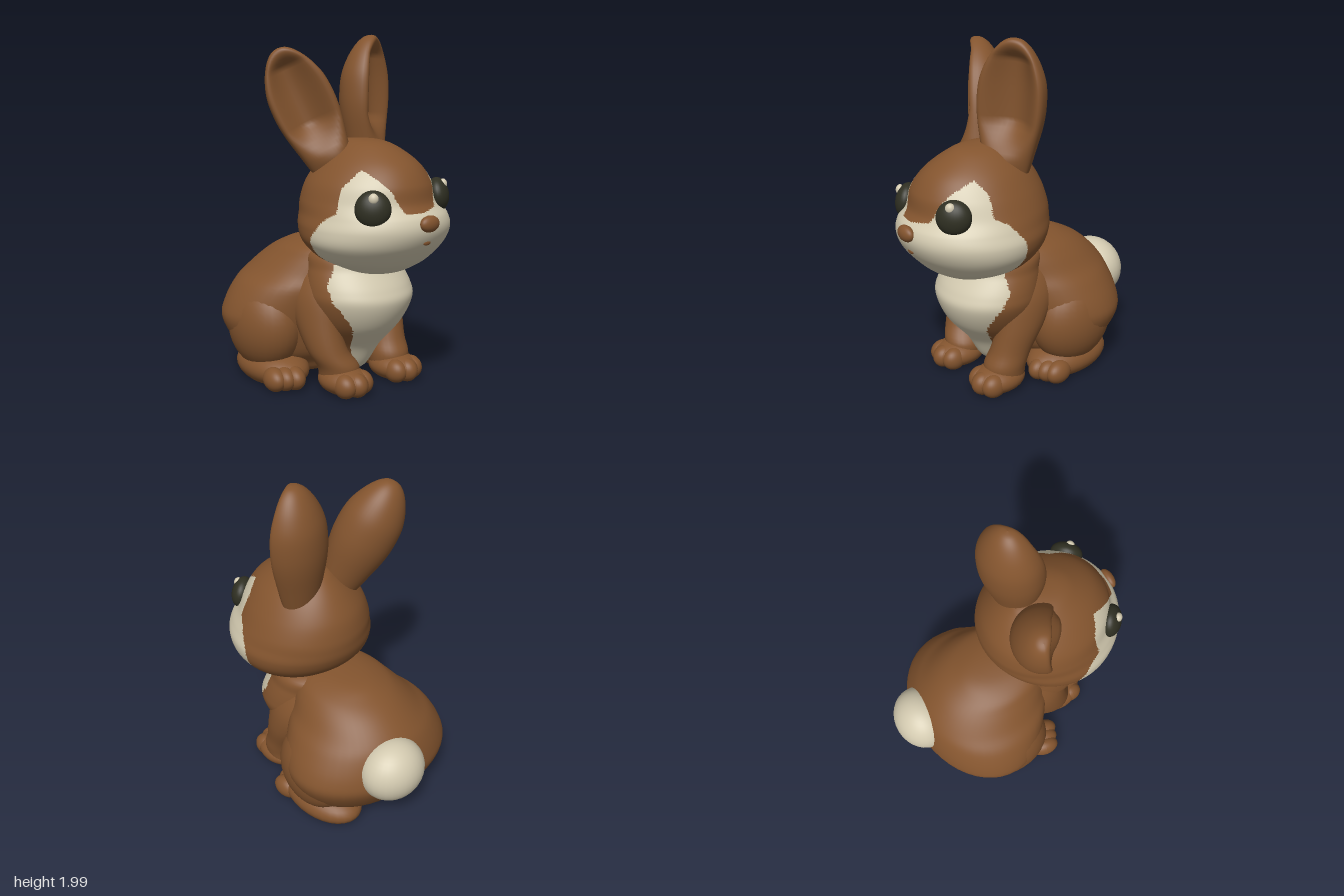
import * as THREE from 'three';

const paint = (name, color) => Object.assign(new THREE.MeshStandardMaterial({ color }), { name });
const fur = paint('brownFur', 0x83542e);
const cream = paint('creamFur', 0xd3cab0);
const dark = paint('darkEye', 0x2f2f22);

// Smooth interpolation through the rows of a table, s in 0..1
function sampleRows(rows, s) {
  const f = s * (rows.length - 1), i = Math.min(Math.floor(f), rows.length - 2), t = f - i;
  const row = (k) => rows[Math.max(0, Math.min(rows.length - 1, k))];
  const [a, b, c, d] = [row(i - 1), row(i), row(i + 1), row(i + 2)];
  return b.map((v, k) => v + 0.5 * t * (c[k] - a[k] + t * (2 * a[k] - 5 * v + 4 * c[k] - d[k]
    + t * (3 * (v - c[k]) + d[k] - a[k]))));
}

// Linear lookup in [key, value] pairs
function lookup(pairs, x) {
  if (x <= pairs[0][0]) return pairs[0][1];
  for (let i = 1; i < pairs.length; i++) {
    const [x0, v0] = pairs[i - 1], [x1, v1] = pairs[i];
    if (x <= x1) return v0 + (v1 - v0) * (x - x0) / (x1 - x0);
  }
  return pairs[pairs.length - 1][1];
}

// Skin over closed rings; isCream(centre) assigns faces to the cream material
function loft(name, rings, isCream) {
  const n = rings[0].length, pts = rings.flat(), sets = [[], []];
  const addFace = (a, b, c) => {
    const mid = new THREE.Vector3().add(pts[a]).add(pts[b]).add(pts[c]).divideScalar(3);
    sets[isCream && isCream(mid) ? 1 : 0].push(a, b, c);
  };
  for (let i = 0; i < rings.length - 1; i++) {
    for (let j = 0; j < n; j++) {
      const a = i * n + j, b = i * n + (j + 1) % n;
      addFace(a, b, a + n);
      addFace(b, b + n, a + n);
    }
  }
  const geo = new THREE.BufferGeometry().setFromPoints(pts);
  geo.setIndex([...sets[0], ...sets[1]]);
  geo.addGroup(0, sets[0].length, 0);
  geo.addGroup(sets[0].length, sets[1].length, 1);
  geo.computeVertexNormals();
  const mesh = new THREE.Mesh(geo, [fur, cream]);
  mesh.name = name;
  return mesh;
}

// Stacked level ellipses; rows are [y, centreX, halfWidth, backZ, frontZ]
function stack(name, rows, levels, sides, isCream) {
  const rings = [];
  for (let i = 0; i <= levels; i++) {
    const [y, cx, rx, zb, zf] = sampleRows(rows, i / levels);
    rings.push(Array.from({ length: sides }, (_, j) => {
      const a = (j / sides) * Math.PI * 2;
      return new THREE.Vector3(cx + Math.max(rx, 0) * Math.sin(a), y, (zb + zf) / 2 + (zf - zb) / 2 * Math.cos(a));
    }));
  }
  return loft(name, rings, isCream);
}

// Smooth ellipsoid
function blob(name, material, position, radii, yaw = 0, pitch = 0) {
  const mesh = new THREE.Mesh(new THREE.SphereGeometry(1, 32, 22).scale(...radii), material);
  mesh.name = name;
  mesh.position.set(...position);
  mesh.rotation.set(pitch, yaw, 0, 'YXZ');
  return mesh;
}

// Ellipsoid with a flat sole just above the ground
function paw(name, position, radii, yaw = 0) {
  const mesh = blob(name, fur, position, radii, yaw);
  const pos = mesh.geometry.attributes.position;
  for (let i = 0; i < pos.count; i++) pos.setY(i, Math.max(pos.getY(i), 0.012 - position[1]));
  mesh.geometry.computeVertexNormals();
  return mesh;
}

// Cupped ear: rounded back, hollow front, rim thicker on the inner side (inner = 1 or -1)
function ear(name, base, tip, facing, width, depth, inner) {
  const from = new THREE.Vector3(...base), to = new THREE.Vector3(...tip);
  const axis = to.clone().sub(from).normalize();
  const W = new THREE.Vector3(...facing).cross(axis).normalize();
  const N = axis.clone().cross(W);
  const profile = [[0, 0.6], [0.2, 0.78], [0.4, 0.95], [0.55, 1], [0.7, 0.95], [0.83, 0.76], [0.93, 0.5], [0.985, 0.24], [1, 0]];
  const rings = [];
  for (let i = 0; i <= 40; i++) {
    const [t, k] = sampleRows(profile, i / 40);
    const hollow = 1.05 * Math.min(1, Math.max(0, (t - 0.15) / 0.25)) * Math.min(1, (1 - t) / 0.14);
    rings.push(Array.from({ length: 48 }, (_, j) => {
      const a = (j / 48) * Math.PI * 2, s = Math.sin(a), c = Math.cos(a);
      const v = s < 0 ? s : (0.85 + 0.25 * inner * c) * s - hollow * s ** 3;
      return from.clone().lerp(to, t).addScaledVector(W, width * k * c).addScaledVector(N, depth * k * v);
    }));
  }
  return loft(name, rings);
}

export function createModel() {
  const model = new THREE.Group();
  model.name = 'rabbit';

  // Body
  model.add(stack('body', [
    [0.04, 0, 0, -0.2, -0.2], [0.05, 0, 0.24, -0.4, -0.02], [0.12, 0, 0.35, -0.5, 0.03],
    [0.2, 0, 0.44, -0.57, 0.08], [0.35, 0, 0.512, -0.652, 0.11], [0.45, 0, 0.5, -0.655, 0.14],
    [0.57, 0, 0.435, -0.62, 0.18], [0.65, 0.01, 0.36, -0.57, 0.2], [0.74, 0.02, 0.29, -0.47, 0.22],
    [0.8, 0.02, 0.23, -0.36, 0.22], [0.84, 0.02, 0.13, -0.24, 0.2], [0.855, 0.02, 0, 0, 0],
  ], 55, 48));

  // Chest with cream bib
  const bib = [[0.1, 0.09], [0.2, 0.1], [0.3, 0.15], [0.4, 0.2], [0.48, 0.26], [0.55, 0.3]];
  model.add(stack('chest', [
    [0.08, 0.04, 0, 0.06, 0.06], [0.1, 0.04, 0.1, -0.1, 0.22], [0.25, 0.045, 0.18, -0.1, 0.32],
    [0.39, 0.045, 0.27, -0.1, 0.44], [0.52, 0.05, 0.32, -0.1, 0.495], [0.6, 0.05, 0.32, -0.1, 0.475],
    [0.7, 0.05, 0.29, -0.1, 0.41], [0.8, 0.05, 0.24, -0.1, 0.35], [0.86, 0.05, 0, 0.1, 0.1],
  ], 72, 110, (p) => p.z > (p.y < 0.25 ? 0 : 0.265) && Math.abs(p.x - 0.05) < lookup(bib, p.y)));

  // Legs, haunches and paws
  for (const side of [1, -1]) {
    const label = side > 0 ? 'left' : 'right';
    const pawX = 0.06 + side * 0.198;
    const x = (d) => 0.04 + side * d;
    model.add(stack(label + 'Foreleg', [
      [0.04, pawX, 0, 0.23, 0.23], [0.05, pawX, 0.09, 0.13, 0.33], [0.15, pawX, 0.116, 0.11, 0.36],
      [0.25, x(0.228), 0.11, 0.07, 0.32], [0.4, x(0.243), 0.11, -0.02, 0.285], [0.55, x(0.225), 0.112, -0.1, 0.27],
      [0.67, x(0.175), 0.105, -0.12, 0.25], [0.76, x(0.13), 0.075, -0.08, 0.2], [0.8, x(0.12), 0, 0.06, 0.06],
    ], 40, 28));
    model.add(paw(label + 'ForePaw', [pawX, 0.082, 0.28], [0.13, 0.082, 0.165]));
    for (const k of [-1, 0, 1]) {
      model.add(paw(label + 'ForeToe', [pawX + k * 0.062, 0.076, 0.385 - Math.abs(k) * 0.025], [0.06, 0.068, 0.075]));
    }
    const back = side > 0 ? -0.045 : 0;
    model.add(blob(label + 'Haunch', fur, [side * 0.315, 0.34, -0.21], [0.195, 0.27, 0.26]));
    model.add(paw(label + 'HindFoot', [side * 0.28, 0.09, -0.19 + back * 0.5], [0.18, 0.112, 0.29], side * 0.12));
    for (const k of [-1, 0, 1]) {
      model.add(paw(label + 'HindToe', [side * 0.37 + k * 0.05, 0.075, 0.035 + back - k * side * 0.025], [0.06, 0.068, 0.09], side * 0.2));
    }
  }

  // Tail
  model.add(blob('tail', cream, [0.07, 0.475, -0.6], [0.2, 0.187, 0.172]));

  // Head with cream cheeks, muzzle and eye patches beside a brown forehead wedge
  const maskBack = [[0.7, 0.31], [0.84, 0.245], [0.945, 0.255], [1.05, 0.34], [1.09, 0.41], [1.21, 0.4], [1.32, 0.46], [1.34, 1]];
  const wedge = [[1.065, 0], [1.075, 0.115], [1.2, 0.165], [1.3, 0.225]];
  model.add(stack('head', [
    [0.695, 0.055, 0, 0.38, 0.38], [0.705, 0.055, 0.14, 0.25, 0.48], [0.75, 0.058, 0.26, 0.1, 0.57],
    [0.8, 0.057, 0.345, 0, 0.63], [0.88, 0.055, 0.41, -0.08, 0.7], [0.96, 0.06, 0.422, -0.12, 0.735],
    [1.03, 0.06, 0.4, -0.13, 0.725], [1.1, 0.055, 0.375, -0.127, 0.67], [1.2, 0.05, 0.33, -0.1, 0.645],
    [1.3, 0.055, 0.255, -0.04, 0.575], [1.38, 0.055, 0.165, 0.03, 0.46], [1.42, 0.05, 0.09, 0.09, 0.36],
    [1.435, 0.05, 0, 0.2, 0.2],
  ], 140, 190, (p) => {
    const y = p.y - 0.08 * (p.x - 0.055);
    return p.z > lookup(maskBack, y) && Math.abs(p.x - 0.055) >= lookup(wedge, y);
  }));

  // Eyes with highlights
  model.add(blob('leftEye', dark, [0.283, 1.13, 0.582], [0.096, 0.094, 0.062], 0.74, -0.15));
  model.add(blob('rightEye', dark, [-0.199, 1.092, 0.57], [0.096, 0.1, 0.062], -0.78, -0.15));
  model.add(blob('leftEyeHighlight', cream, [0.292, 1.188, 0.61], [0.027, 0.03, 0.024], 0.74));
  model.add(blob('rightEyeHighlight', cream, [-0.222, 1.152, 0.597], [0.027, 0.03, 0.024], -0.78));

  // Nose and mouth
  model.add(blob('nose', fur, [0.055, 1.01, 0.735], [0.066, 0.045, 0.034]));
  model.add(blob('mouth', fur, [0.06, 0.905, 0.712], [0.028, 0.014, 0.008]));

  // Ears
  model.add(ear('leftEar', [0.165, 1.24, 0.15], [0.21, 2.0, 0.125], [0.34, 0, 0.94], 0.197, 0.17, 1));
  model.add(ear('rightEar', [-0.09, 1.24, 0.16], [-0.35, 1.92, -0.03], [-0.44, 0, 0.9], 0.18, 0.17, -1));

  return model;
}
